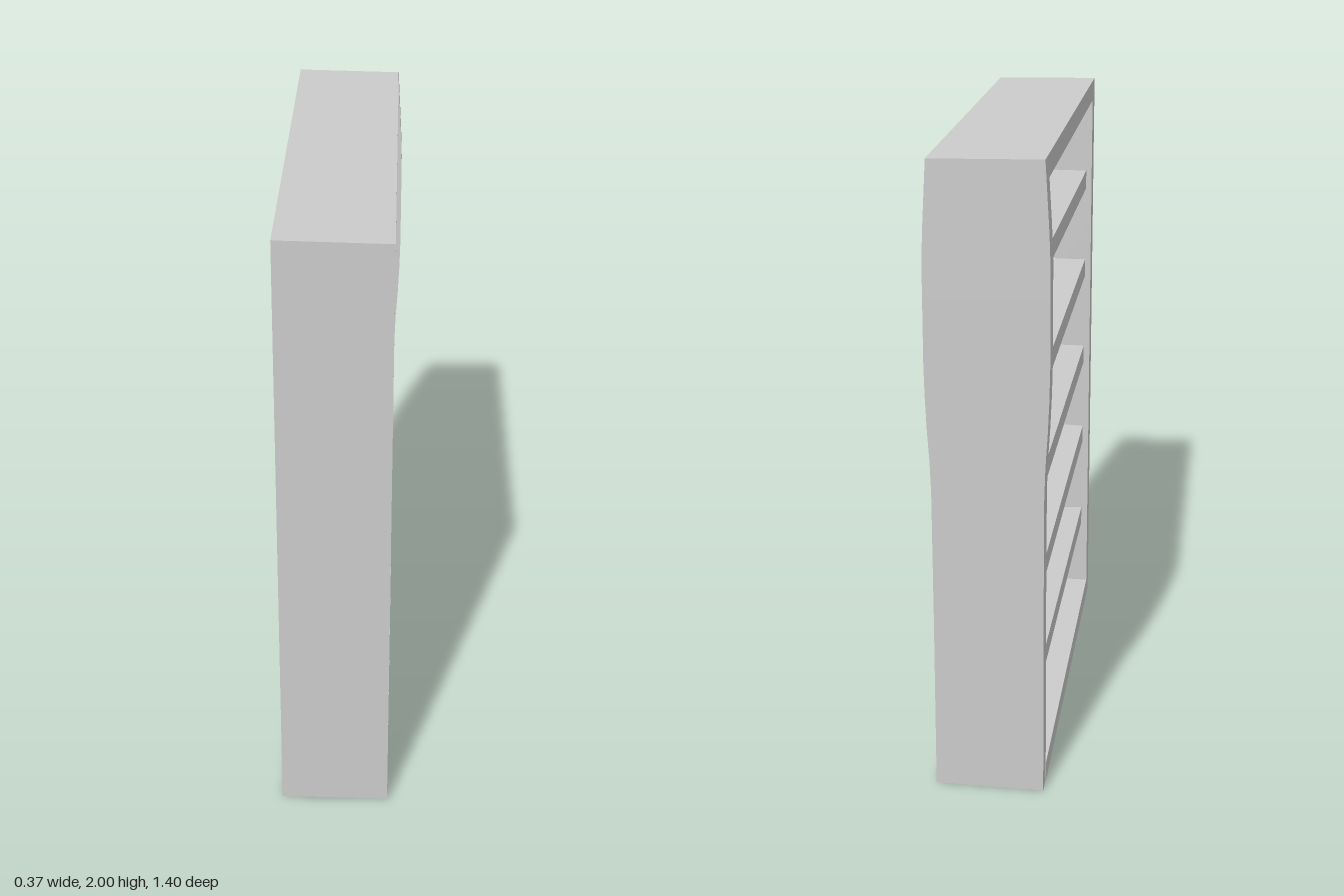
import * as THREE from 'three';

const material = new THREE.MeshStandardMaterial({ color: 0xcccccc, flatShading: true });

// Box between two corners, with every vertex moved by a rule
function warpedBox(name, min, max, rule, ySegments = 1) {
  const geometry = new THREE.BoxGeometry(
    max[0] - min[0], max[1] - min[1], max[2] - min[2], 1, ySegments, 1);
  geometry.translate((min[0] + max[0]) / 2, (min[1] + max[1]) / 2, (min[2] + max[2]) / 2);
  const position = geometry.attributes.position;
  const v = new THREE.Vector3();
  for (let i = 0; i < position.count; i++) {
    rule(v.fromBufferAttribute(position, i));
    position.setXYZ(i, v.x, v.y, v.z);
  }
  geometry.computeVertexNormals();
  const mesh = new THREE.Mesh(geometry, material);
  mesh.name = name;
  return mesh;
}

// Half width of the bulging back post at a given height
const bulge = [[0, 0.17], [0.6, 0.168], [1.05, 0.168], [1.25, 0.18], [1.4, 0.183],
  [1.7, 0.182], [1.8, 0.178], [2, 0.166]];
function halfWidth(y) {
  const k = Math.max(1, bulge.findIndex(p => p[0] >= y - 1e-6));
  const [y0, w0] = bulge[k - 1], [y1, w1] = bulge[k];
  return THREE.MathUtils.lerp(w0, w1, (y - y0) / (y1 - y0));
}

// Slightly uneven frame: the bottom rises to the front, the top dips to +x
function settle(v) {
  const h = v.y / 2;
  v.y += 0.01 * (v.z + 0.7) / 1.4 * (1 - h) - 0.006 * (v.x / 0.34 + 0.5) * h;
}

export function createModel() {
  const model = new THREE.Group();
  model.name = 'shelfUnit';
  const W = 0.168, D = 0.698, inner = 0.635;

  // Upright end panels
  model.add(warpedBox('frontPanel', [-W, 0, inner], [W, 2, D], v => {
    v.x *= 1.02 - 0.015 * v.y;
    settle(v);
  }, 4));
  model.add(warpedBox('backPanel', [-W, 0, -D], [W, 2, -inner], v => {
    v.x = Math.sign(v.x) * halfWidth(v.y);
    settle(v);
  }, 20));

  // Top and bottom boards
  for (const [name, y0, y1] of [['bottomBoard', 0, 0.065], ['topBoard', 1.932, 2]]) {
    model.add(warpedBox(name, [-W, y0, -inner], [W, y1, inner], v => {
      v.x *= 1.02 - 0.015 * v.y;
      settle(v);
    }));
  }

  // Crooked shelves: centre height at the front and back, and twist at the front
  const shelves = [
    [0.335, 0.36, 0.015], [0.695, 0.68, -0.012], [1.0, 1.0, 0],
    [1.328, 1.312, 0], [1.652, 1.668, 0],
  ];
  for (const [front, back, twist] of shelves) {
    model.add(warpedBox('shelf', [-0.148, -0.032, -inner], [0.154, 0.032, inner], v => {
      const t = (v.z + inner) / (2 * inner);
      v.y += THREE.MathUtils.lerp(back, front, t) + (v.x < 0 ? twist * t : 0);
    }));
  }
  return model;
}
